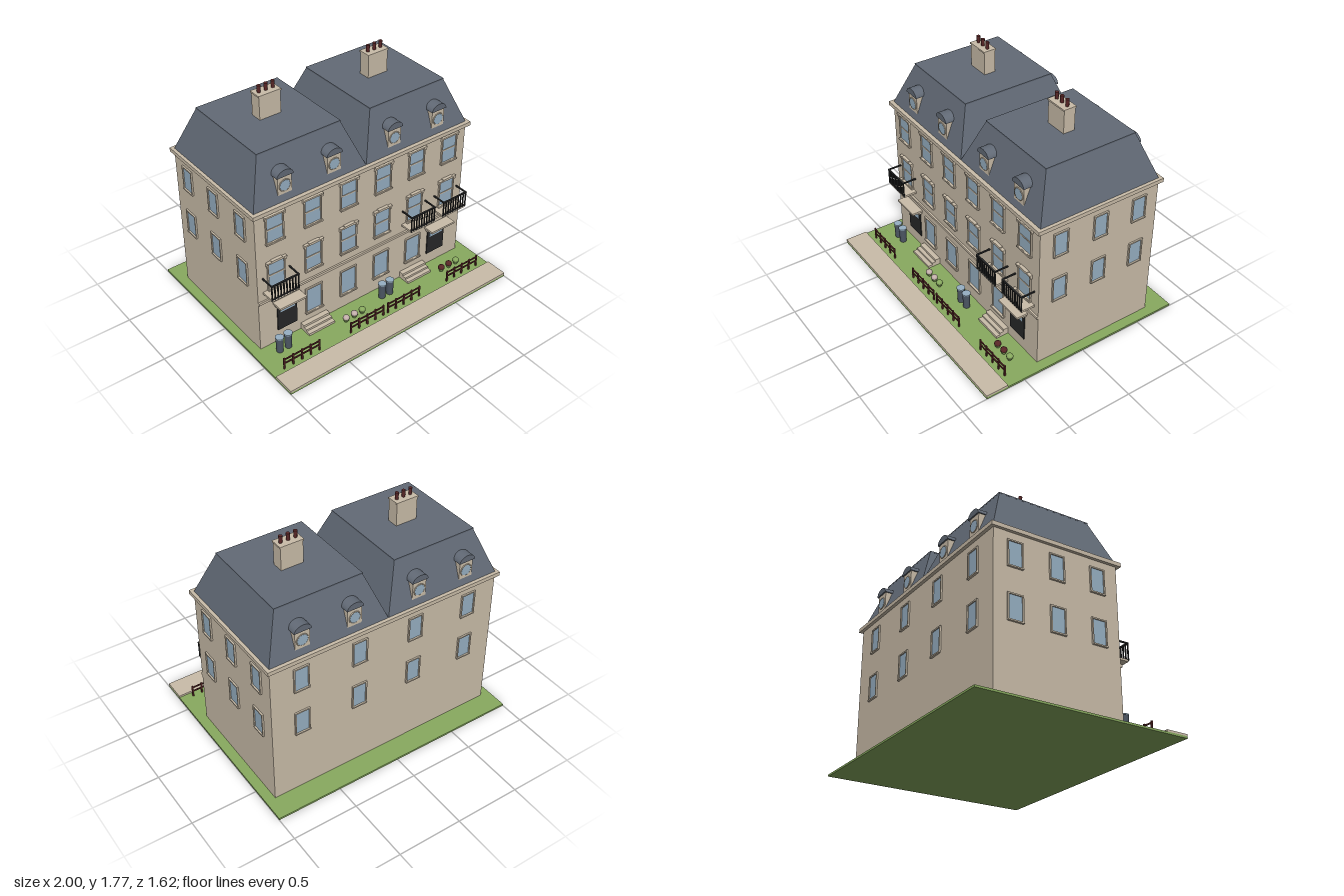
import * as THREE from 'three';

const mat = (name, color) => {
  const m = new THREE.MeshStandardMaterial({ color });
  m.name = name;
  return m;
};

export function createModel() {
  const stone = mat('stone', 0xcabda9);
  const slate = mat('slate', 0x626a76);
  const glass = mat('glass', 0x97b0c3);
  const grass = mat('grass', 0x88aa5f);
  const black = mat('black iron', 0x272829);
  const maroon = mat('maroon', 0x582626);
  const binGrey = mat('bin grey', 0x4c5663);
  const blossom = mat('pale blossom', 0xc4b0ac);

  const model = new THREE.Group();
  model.name = 'terraceHouses';

  const add = (parent, name, geo, material, x = 0, y = 0, z = 0) => {
    const m = new THREE.Mesh(geo, material);
    m.name = name;
    m.position.set(x, y, z);
    parent.add(m);
    return m;
  };
  // box given by its min and max on each axis
  const box = (parent, name, material, x0, x1, y0, y1, z0, z1) =>
    add(parent, name, new THREE.BoxGeometry(x1 - x0, y1 - y0, z1 - z0), material,
      (x0 + x1) / 2, (y0 + y1) / 2, (z0 + z1) / 2);
  const group = (name, x, y, z, ry = 0, parent = model) => {
    const g = new THREE.Group();
    g.name = name;
    g.position.set(x, y, z);
    g.rotation.y = ry;
    parent.add(g);
    return g;
  };

  const W = 0.925, F = 0.343, B = -0.637, MID = (F + B) / 2;

  // ground
  box(model, 'lawn', grass, -1, 1, 0, 0.015, -0.81, 0.81);
  box(model, 'pavement', stone, -1, 1, 0.015, 0.03, 0.637, 0.81);

  // walls, string course and cornice
  box(model, 'walls', stone, -W, W, 0.005, 1.17, B, F);
  box(model, 'stringCourse', stone, -W, W, 0.423, 0.442, F, 0.357);
  box(model, 'cornice', stone, -0.948, 0.948, 1.158, 1.188, -0.662, 0.372);

  // window facing +z, centred on x with its bottom at y = 0
  const makeWindow = (name, x, y, z, ry, w, h, style) => {
    const g = group(name, x, y, z, ry);
    const a = w / 2, t = 0.01, d = 0.012;
    box(g, 'pane', glass, -a, a, 0, h, 0, 0.004);
    for (const s of [-1, 1]) {
      const e = s * (a + t / 2);
      box(g, 'jamb', stone, e - t / 2, e + t / 2, -t, h + t, 0, d);
    }
    box(g, 'head', stone, -a, a, h, h + t, 0, d);
    box(g, 'sill', stone, -a - t, a + t, -t, 0, 0, d + 0.004);
    if (style === 'plain') return;
    box(g, 'frontSill', stone, -a - 0.014, a + 0.014, -0.013, -0.002, 0, 0.022);
    if (style === 'ground') return;
    box(g, 'meetingRail', stone, -a, a, h / 2 - 0.005, h / 2 + 0.005, 0, 0.008);
    box(g, 'lintel', stone, -a - 0.018, a + 0.018, h + 0.004, h + 0.016, 0, 0.022);
    for (const s of [-1, 1])
      box(g, 'ear', stone, s * (a + 0.01) - 0.008, s * (a + 0.01) + 0.008, h - 0.015, h + 0.006, 0, 0.016);
    if (style === 'keystone')
      box(g, 'keystone', stone, -0.045, 0.045, h + 0.016, h + 0.024, 0, 0.024);
  };

  const columns = [-0.77, -0.46, -0.153, 0.153, 0.46, 0.77];
  columns.forEach((x, i) => {
    makeWindow('topFrontWindow', x, 0.915, F, 0, 0.126, 0.205, 'sash');
    makeWindow('middleFrontWindow', x, 0.53, F, 0, 0.126, 0.21, 'keystone');
    if (i > 0 && i < 5) makeWindow('groundFrontWindow', x, 0.147, F, 0, 0.126, 0.203, 'ground');
  });
  for (const y of [0.915, 0.537]) {
    for (const z of [0.177, -0.15, -0.475])
      for (const s of [-1, 1])
        makeWindow('sideWindow', s * W, y, z, s * Math.PI / 2, 0.1, 0.175, 'plain');
    for (const x of [-0.69, -0.23, 0.23, 0.69])
      makeWindow('backWindow', x, y, B, Math.PI, 0.1, 0.175, 'plain');
  }

  // mansard roof: a box with its top drawn in
  const mansard = new THREE.BoxGeometry(W, 0.34, F - B);
  const p = mansard.attributes.position;
  for (let i = 0; i < p.count; i++)
    if (p.getY(i) > 0) {
      p.setX(i, Math.sign(p.getX(i)) * 0.334);
      p.setZ(i, Math.sign(p.getZ(i)) * 0.361);
    }
  mansard.computeVertexNormals();

  // dormer facing +z, origin at its front foot
  const arch = new THREE.Shape();
  arch.moveTo(-0.066, 0);
  arch.absellipse(0, 0, 0.066, 0.05, Math.PI, 0, true);
  arch.closePath();
  const archGeo = new THREE.ExtrudeGeometry(arch, { depth: 0.1, bevelEnabled: false, curveSegments: 12 });
  const makeDormer = (x, z, ry) => {
    const g = group('dormer', x, 1.225, z, ry);
    box(g, 'dormerBody', stone, -0.056, 0.056, 0, 0.146, -0.1, 0);
    add(g, 'dormerRoof', archGeo, slate, 0, 0.146, -0.09);
    const pane = add(g, 'roundPane', new THREE.CylinderGeometry(0.04, 0.04, 0.006, 24), glass, 0, 0.073, 0.002);
    pane.rotation.x = Math.PI / 2;
    const rim = add(g, 'roundRim', new THREE.TorusGeometry(0.043, 0.004, 6, 24), stone, 0, 0.073, 0.001);
    rim.scale.z = 1.2;
  };

  for (const s of [-1, 1]) {
    const cx = s * W / 2;
    add(model, 'mansardRoof', mansard, slate, cx, 1.356, MID);
    box(model, 'roofCap', slate, cx - 0.337, cx + 0.337, 1.52, 1.53, MID - 0.364, MID + 0.364);
    for (const x of [0.262, 0.663]) {
      makeDormer(s * x, 0.325, 0);
      makeDormer(s * x, 2 * MID - 0.325, Math.PI);
    }

    // chimney with three pots
    box(model, 'chimney', stone, cx - 0.086, cx + 0.086, 1.5, 1.702, -0.198, -0.108);
    box(model, 'chimneyCap', stone, cx - 0.091, cx + 0.091, 1.702, 1.714, -0.203, -0.103);
    for (const k of [-1, 0, 1])
      add(model, 'chimneyPot', new THREE.CylinderGeometry(0.014, 0.012, 0.055, 10), maroon, cx + k * 0.0565, 1.739, -0.153);

    // front door with canopy
    const dx = s * 0.693;
    box(model, 'door', black, dx - 0.083, dx + 0.083, 0.115, 0.335, F, 0.351);
    box(model, 'transomLight', glass, dx - 0.062, dx + 0.062, 0.272, 0.325, 0.351, 0.354);
    box(model, 'canopyBase', stone, dx - 0.1, dx + 0.1, 0.342, 0.367, F, 0.372);
    box(model, 'canopy', stone, dx - 0.113, dx + 0.113, 0.367, 0.383, F, 0.43);

    // entrance steps
    const sx = s * 0.462;
    [[0.033, 0.445], [0.049, 0.412], [0.067, 0.382]].forEach(([h, z]) =>
      box(model, 'step', stone, sx - 0.114, sx + 0.114, 0.002, h, F - 0.01, z));
  }

  // balconies
  for (const x of [-0.77, 0.46, 0.77]) {
    const g = group('balcony', x, 0, 0);
    box(g, 'balconyFloor', stone, -0.112, 0.112, 0.5, 0.516, F, 0.45);
    box(g, 'topRail', black, -0.115, 0.115, 0.63, 0.64, 0.444, 0.456);
    box(g, 'bottomRail', black, -0.115, 0.115, 0.516, 0.523, 0.446, 0.454);
    for (const s of [-1, 1])
      box(g, 'sideRail', black, s * 0.11 - 0.005, s * 0.11 + 0.005, 0.63, 0.64, F, 0.45);
    for (let i = 0; i < 10; i++) {
      const bx = -0.11 + i * 0.22 / 9;
      box(g, 'baluster', black, bx - 0.004, bx + 0.004, 0.51, 0.635, 0.446, 0.454);
    }
  }

  // garden fences
  for (const x of [-0.752, -0.172, 0.172, 0.752]) {
    const g = group('fence', x, 0, 0.597);
    for (const y of [0.063, 0.098])
      box(g, 'fenceRail', maroon, -0.157, 0.157, y - 0.005, y + 0.005, -0.004, 0.004);
    for (let i = 0; i < 5; i++) {
      const px = -0.15 + i * 0.075;
      box(g, 'fencePost', maroon, px - 0.006, px + 0.006, 0.01, 0.111, -0.005, 0.005);
    }
  }

  // dustbins
  for (const x of [-0.825, -0.752, 0.1, 0.173]) {
    const g = group('dustbin', x, 0, 0.435);
    add(g, 'binBody', new THREE.CylinderGeometry(0.029, 0.026, 0.12, 16), binGrey, 0, 0.075, 0);
    add(g, 'binLid', new THREE.CylinderGeometry(0.032, 0.032, 0.008, 16), glass, 0, 0.139, 0);
  }

  // shrubs
  const shrub = new THREE.IcosahedronGeometry(0.026, 1);
  const shrubs = [[-0.275, blossom], [-0.2, blossom], [-0.128, grass],
    [0.65, maroon], [0.725, maroon], [0.798, grass]];
  for (const [x, m] of shrubs) {
    add(model, 'shrub', shrub, m, x, 0.05, 0.483).scale.y = 0.85;
    add(model, 'shrubLeaves', new THREE.CylinderGeometry(0.026, 0.014, 0.025, 8), grass, x, 0.028, 0.483);
  }

  return model;
}
